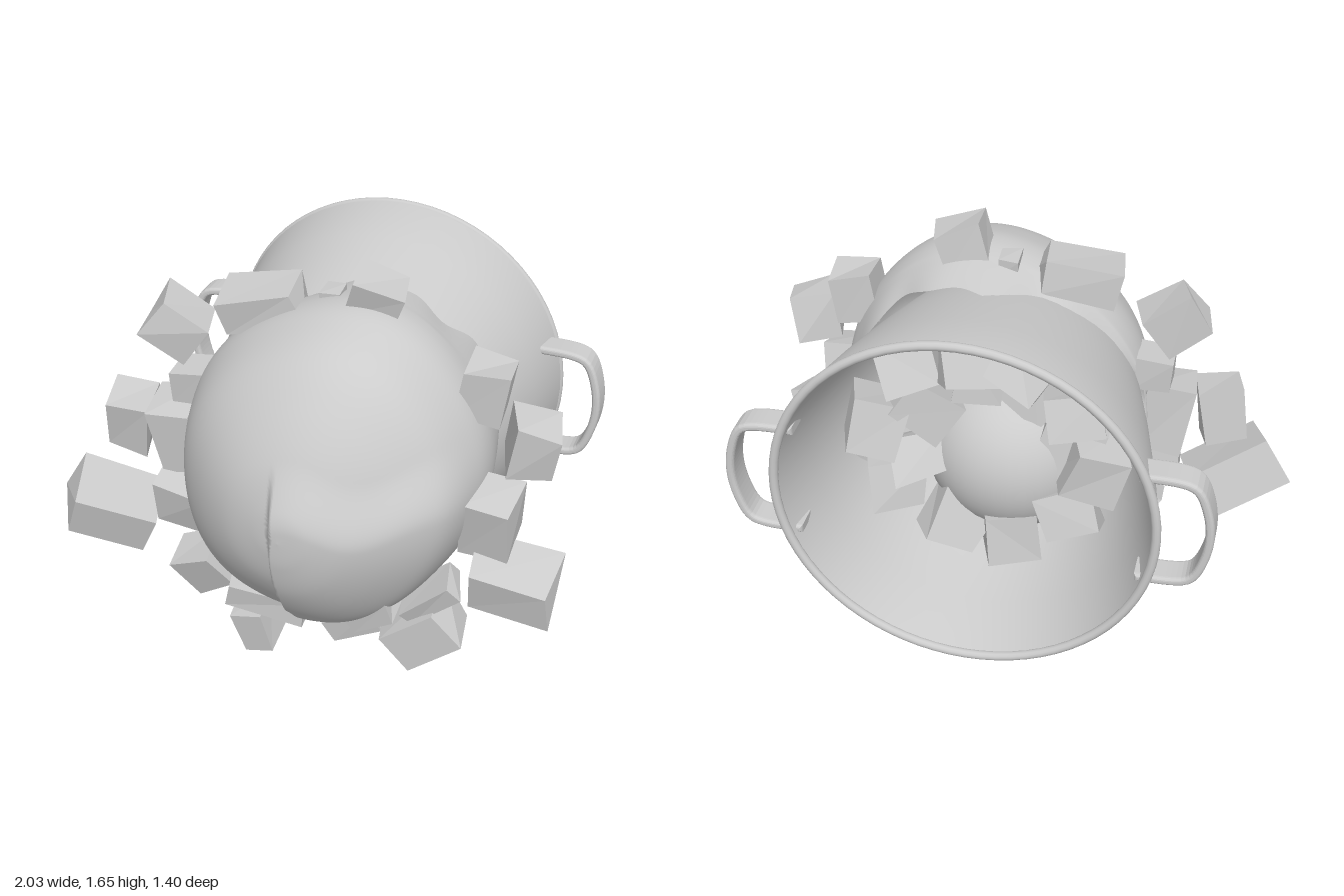
import * as THREE from 'three';

const CX = 0.055, CY = 0.886; // pot axis, running along z
const V2 = (x, y) => new THREE.Vector2(x, y);

function seeded(seed) {
  return () => {
    seed = (seed * 16807) % 2147483647;
    return seed / 2147483647;
  };
}

export function createModel() {
  const model = new THREE.Group();
  const smooth = new THREE.MeshStandardMaterial({ color: 0xcccccc, side: THREE.DoubleSide });
  const flat = new THREE.MeshStandardMaterial({ color: 0xcccccc, flatShading: true });
  const rand = seeded(4711);

  const add = (name, geometry, material, parent = model) => {
    const mesh = new THREE.Mesh(geometry, material);
    mesh.name = name;
    parent.add(mesh);
    return mesh;
  };

  // Pot lying on its side, mouth towards -z: inner floor and wall, then outer wall and floor
  const potProfile = [
    V2(0, 0.17), V2(0.45, 0.17), V2(0.51, 0), V2(0.565, -0.2), V2(0.625, -0.45), V2(0.67, -0.69),
    V2(0.695, -0.69), V2(0.645, -0.45), V2(0.585, -0.2), V2(0.53, 0), V2(0.47, 0.2), V2(0, 0.2),
  ];
  const pot = add('pot', new THREE.LatheGeometry(potProfile, 64).rotateX(Math.PI / 2), smooth);
  pot.position.set(CX, CY, 0);

  const rim = add('potRim', new THREE.TorusGeometry(0.682, 0.017, 12, 72), smooth);
  rim.position.set(CX, CY, -0.685);

  // Flat bar handles: the upper half of the path is mirrored to make the lower half
  const half = [V2(0.62, 0.22), V2(0.745, 0.217), V2(0.81, 0.19), V2(0.847, 0.1)];
  const path = new THREE.SplineCurve([
    ...half, V2(0.86, 0), ...half.map((p) => V2(p.x, -p.y)).reverse(),
  ]);
  const outer = [], inner = [];
  for (let i = 0; i <= 40; i++) {
    const p = path.getPointAt(i / 40), t = path.getTangentAt(i / 40);
    outer.push(V2(p.x - t.y * 0.004, p.y + t.x * 0.004));
    inner.push(V2(p.x + t.y * 0.004, p.y - t.x * 0.004));
  }
  const handleGeometry = new THREE.ExtrudeGeometry(new THREE.Shape([...outer, ...inner.reverse()]), {
    depth: 0.08, bevelEnabled: true, bevelThickness: 0.015, bevelSize: 0.012, bevelSegments: 4,
  }).translate(0, 0, -0.04);
  [['leftHandle', 0], ['rightHandle', Math.PI]].forEach(([name, turn]) => {
    const handle = add(name, handleGeometry, smooth);
    handle.position.set(CX, CY + 0.004, -0.603);
    handle.rotation.z = turn;
  });

  // Large dome over the pot base, with a ragged rear edge and a raised front quarter
  const domePoints = new THREE.SplineCurve([
    V2(0.595, -0.24), V2(0.63, -0.06), V2(0.65, 0.08), V2(0.63, 0.2),
    V2(0.56, 0.36), V2(0.43, 0.49), V2(0.27, 0.59), V2(0.12, 0.635), V2(0, 0.645),
  ]).getPoints(90);
  const dome = new THREE.LatheGeometry(domePoints, 150).rotateX(Math.PI / 2);
  const pos = dome.attributes.position;
  const step = THREE.MathUtils.smoothstep;
  for (let i = 0; i < pos.count; i++) {
    let x = pos.getX(i), y = pos.getY(i), z = pos.getZ(i);
    const a = Math.atan2(y, x);
    const lump = 1 + 0.012 * Math.sin(5 * a + 1) * Math.min(1, Math.hypot(x, y) * 2);
    if (z < 0) {
      const left = Math.max(0, -Math.cos(a)), right = Math.max(0, Math.cos(a));
      const edge = 0.18 - 0.16 * left ** 2 + 0.05 * right ** 4
        - 0.025 * Math.sin(7 * a) - 0.02 * Math.sin(13 * a + 1);
      z *= edge / 0.24;
    }
    x = 0.08 + x * 0.9 * lump + 0.08 * y; // leans to the left at the bottom
    y = CY + y * 0.985 * lump;
    const top = 1.1 + 0.03 * Math.sin(x * 14);
    const raised = step(x, 0.035, 0.047) * (1 - step(y, top - 0.2, top + 0.03)) * step(z, 0.05, 0.4);
    pos.setXYZ(i, x + 0.012 * raised, y, z + 0.052 * raised);
  }
  dome.computeVertexNormals();
  add('dome', dome, smooth);

  // Smaller rounded mass resting low in the pot
  const core = add('innerMass', new THREE.SphereGeometry(0.35, 40, 28), smooth);
  core.position.set(0.01, CY - 0.14, -0.03);

  // A block whose eight corners are each pulled in by a random amount
  function chunk(parent, name, [x, y, z], [w, h, d], [rx, ry, rz]) {
    const geometry = new THREE.BoxGeometry(w, h, d);
    const p = geometry.attributes.position;
    const corners = Array.from({ length: 8 }, () => [0, 1, 2].map(() => 1.06 - 0.28 * rand()));
    for (let i = 0; i < p.count; i++) {
      const c = corners[(p.getX(i) > 0) * 4 + (p.getY(i) > 0) * 2 + (p.getZ(i) > 0)];
      p.setXYZ(i, p.getX(i) * c[0], p.getY(i) * c[1], p.getZ(i) * c[2]);
    }
    const mesh = add(name, geometry, flat, parent);
    mesh.position.set(x, y, z);
    mesh.rotation.set(rx, ry, rz);
  }

  // Chunks thrown out around the dome: x, y, z, width, height, roll; lower ones sit further forward
  const outerChunks = new THREE.Group();
  outerChunks.name = 'outerChunks';
  model.add(outerChunks);
  [
    [-0.57, 1.3, 0.06, 0.22, 0.19, -0.6],
    [-0.22, 1.45, 0.05, 0.32, 0.15, 0.2],
    [0.03, 1.49, 0, 0.08, 0.08, 0.1],
    [0.21, 1.54, 0.03, 0.19, 0.16, -0.35],
    [0.63, 1.27, 0.05, 0.18, 0.21, -0.1],
    [0.82, 1.12, 0.11, 0.17, 0.21, -0.15],
    [0.71, 0.83, 0.19, 0.19, 0.26, -0.1],
    [0.82, 0.6, 0.23, 0.33, 0.19, -0.15],
    [0.5, 0.32, 0.27, 0.29, 0.18, 0.65],
    [0.22, 0.32, 0.29, 0.2, 0.13, 0.4],
    [0.33, 0.44, 0.36, 0.22, 0.09, 0.6],
    [0.53, 0.5, 0.28, 0.24, 0.08, 0.7],
    [-0.19, 0.12, 0.24, 0.15, 0.19, 0.35],
    [-0.41, 0.33, 0.2, 0.2, 0.2, 0.55],
    [-0.81, 0.52, 0.23, 0.35, 0.2, -0.5],
    [-0.755, 0.89, 0.12, 0.16, 0.25, -0.15],
    [-0.5, 0.61, 0.18, 0.24, 0.2, -0.1],
    [-0.55, 0.87, 0.1, 0.19, 0.28, 0.15],
    [-0.5, 1.07, 0.07, 0.15, 0.14, 0.1],
    [-0.12, 0.3, 0.27, 0.34, 0.12, -0.15],
  ].forEach(([x, y, z, w, h, roll]) => {
    const depth = 0.05 + (w + h) * 0.35;
    chunk(outerChunks, 'outerChunk', [x, y, z], [w, h, depth], [0.3 * rand(), 0.3 * rand(), roll]);
  });

  // Chunks tumbling inside the pot, in two staggered rings
  const innerChunks = new THREE.Group();
  innerChunks.name = 'innerChunks';
  model.add(innerChunks);
  [[10, 0.41, -0.31, 0.22], [7, 0.27, -0.2, 0.24]].forEach(([count, radius, z, size], ring) => {
    for (let i = 0; i < count; i++) {
      const a = ((i + ring * 0.4) / count) * Math.PI * 2 + rand() * 0.2;
      const r = radius + (rand() - 0.5) * 0.04;
      chunk(
        innerChunks, 'innerChunk',
        [CX + Math.cos(a) * r, CY + Math.sin(a) * r, z + (rand() - 0.5) * 0.12],
        [size, size * (0.75 + rand() * 0.3), size * (0.8 + rand() * 0.3)],
        [rand() * 0.5, rand() * 0.5, a + rand() * 0.5],
      );
    }
  });

  return model;
}
